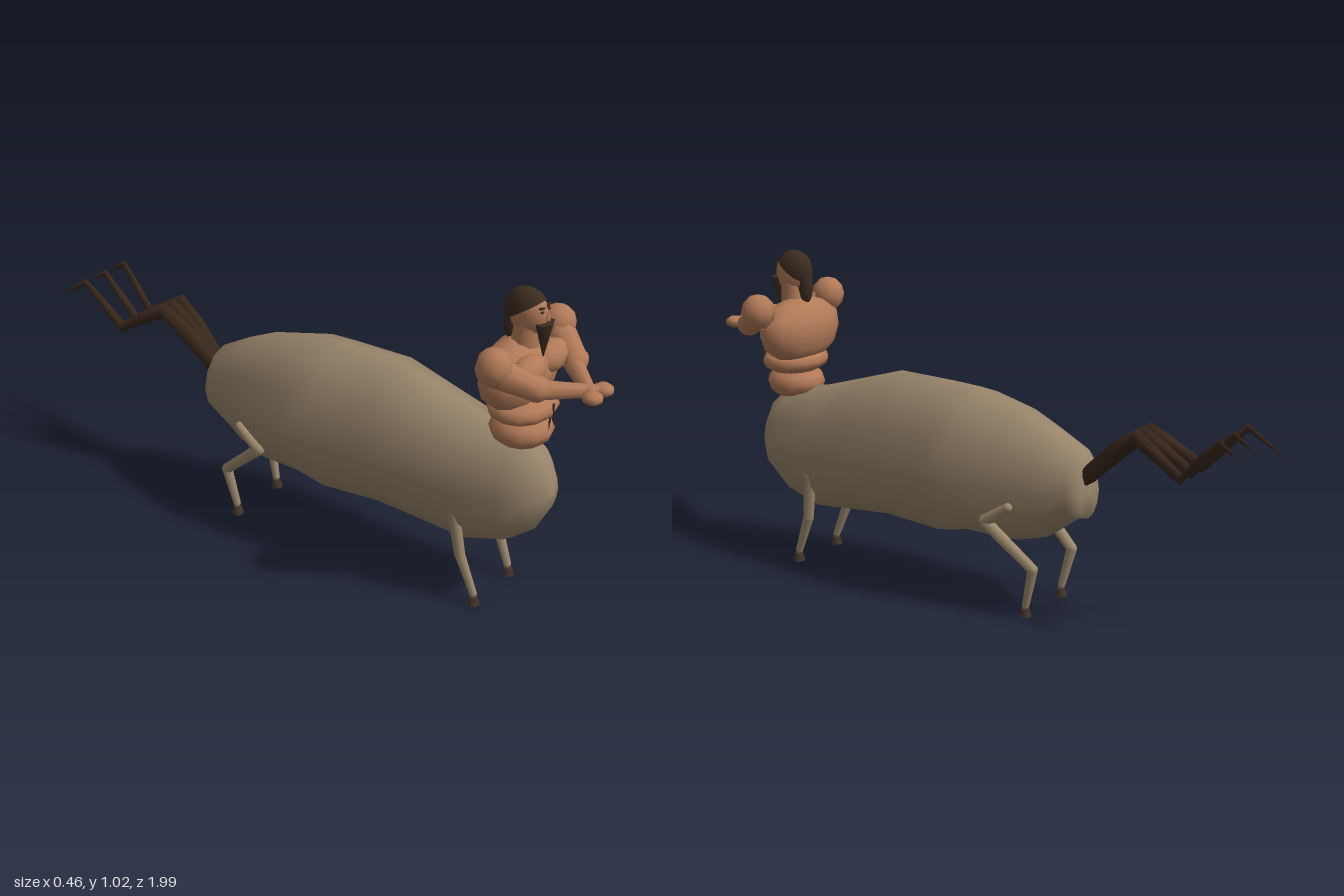
import * as THREE from 'three';

const mat = (name, color, side = THREE.FrontSide) => {
  const m = new THREE.MeshStandardMaterial({ color, side });
  m.name = name;
  return m;
};

export function createModel() {
  const root = new THREE.Group();
  const skin = mat('skin', 0xb27a58);
  const coat = mat('coat', 0x97846a);
  const legCoat = mat('leg coat', 0x9b886c);
  const hair = mat('hair', 0x3b2c20);
  const tailHair = mat('tail hair', 0x38271c);
  const hoofMat = mat('hoof', 0x40332a);

  const add = (name, geo, material, parent = root) => {
    const mesh = new THREE.Mesh(geo, material);
    mesh.name = name;
    parent.add(mesh);
    return mesh;
  };
  const ball = (name, p, r, material, parent, w = 10, h = 7) => {
    const mesh = add(name, new THREE.SphereGeometry(1, w, h), material, parent);
    mesh.position.set(...p);
    mesh.scale.set(...r);
    return mesh;
  };
  // Tapered cylinder between two points
  const limb = (name, a, b, ra, rb, material, parent) => {
    const A = new THREE.Vector3(...a), B = new THREE.Vector3(...b);
    const dir = B.clone().sub(A);
    const mesh = add(name, new THREE.CylinderGeometry(rb, ra, dir.length(), 8), material, parent);
    mesh.position.copy(A).add(B).multiplyScalar(0.5);
    mesh.quaternion.setFromUnitVectors(new THREE.Vector3(0, 1, 0), dir.normalize());
    return mesh;
  };
  // Skin over elliptical sections [z, cx, cy, halfWidth, heightUp, heightDown], back to front
  const loft = (rows, n) => {
    const pos = [], idx = [];
    rows.forEach(([z, cx, cy, w, up, down], i) => {
      for (let j = 0; j < n; j++) {
        const t = (j / n) * Math.PI * 2, s = Math.sin(t);
        pos.push(cx + w * Math.cos(t), cy + s * (s > 0 ? up : down), z);
        if (i === rows.length - 1) continue;
        const a = i * n + j, b = i * n + ((j + 1) % n);
        idx.push(a, b, a + n, b, b + n, a + n);
      }
    });
    const g = new THREE.BufferGeometry();
    g.setAttribute('position', new THREE.Float32BufferAttribute(pos, 3));
    g.setIndex(idx);
    g.computeVertexNormals();
    return g;
  };

  // Barrel of the horse
  add('horseBody', loft([
    [-0.395, 0, 0.39, 0, 0, 0],
    [-0.39, 0, 0.39, 0.06, 0.07, 0.075],
    [-0.36, 0, 0.41, 0.1, 0.12, 0.1],
    [-0.25, 0, 0.4, 0.125, 0.19, 0.17],
    [-0.15, 0, 0.4, 0.155, 0.235, 0.2],
    [0, 0, 0.4, 0.19, 0.27, 0.19],
    [0.1, 0, 0.4, 0.187, 0.275, 0.215],
    [0.3, 0, 0.4, 0.175, 0.28, 0.2],
    [0.45, 0, 0.39, 0.16, 0.245, 0.205],
    [0.6, 0, 0.38, 0.148, 0.21, 0.21],
    [0.73, 0, 0.38, 0.125, 0.19, 0.17],
    [0.8, 0, 0.38, 0.095, 0.15, 0.115],
    [0.84, 0, 0.39, 0.05, 0.07, 0.05],
    [0.85, 0, 0.39, 0, 0, 0],
  ], 12), coat);

  // Tail of three wavy strands
  const tail = new THREE.Group();
  tail.name = 'tail';
  root.add(tail);
  for (const s of [-1, 0, 1]) {
    const tip = s < 0 ? -0.99 : -0.94;
    add('tailStrand', loft([
      [tip, s * 0.1, s < 0 ? 0.57 : 0.605, 0, 0, 0],
      [-0.86, s * 0.094, 0.652, 0.008, 0.012, 0.012],
      [-0.79, s * 0.082, 0.58, 0.013, 0.018, 0.018],
      [-0.73, s * 0.07, 0.518, 0.016, 0.018, 0.018],
      [-0.66, s * 0.057, 0.56, 0.02, 0.022, 0.022],
      [-0.57, s * 0.043, 0.61, 0.024, 0.025, 0.025],
      [-0.48, s * 0.03, 0.54, 0.024, 0.035, 0.035],
      [-0.385, s * 0.017, 0.45, 0.018, 0.035, 0.035],
      [-0.37, s * 0.017, 0.45, 0, 0, 0],
    ], 7), tailHair, tail);
  }

  // Legs as joint chains with a hoof, mirrored left and right
  const chains = {
    frontLeg: [[0.125, 0.36, 0.625], [0.118, 0.31, 0.59], [0.107, 0.16, 0.612], [0.1, 0.035, 0.66]],
    hindLeg: [[0.14, 0.35, -0.19], [0.145, 0.295, -0.11], [0.115, 0.16, -0.265], [0.105, 0.035, -0.235]],
  };
  const radii = [0.015, 0.02, 0.017, 0.012];
  for (const side of [-1, 1]) {
    for (const [name, chain] of Object.entries(chains)) {
      const leg = new THREE.Group();
      leg.name = (side > 0 ? 'left ' : 'right ') + name;
      root.add(leg);
      const pts = chain.map(([x, y, z]) => [x * side, y, z]);
      pts.forEach((p, i) => {
        const r = radii[i];
        ball('joint', p, [r, r, r], legCoat, leg, 8, 6);
        if (i) limb('legSegment', pts[i - 1], p, radii[i - 1], r, legCoat, leg);
      });
      const [hx, , hz] = pts[3];
      const hoof = add('hoof', new THREE.CylinderGeometry(0.013, 0.02, 0.024, 8), hoofMat, leg);
      hoof.position.set(hx, 0.012, hz + 0.002);
    }
  }

  // Human torso
  const torso = new THREE.Group();
  torso.name = 'torso';
  root.add(torso);
  ball('lowerAbdomen', [0, 0.588, 0.735], [0.096, 0.058, 0.095], skin, torso, 12, 8);
  ball('upperAbdomen', [0, 0.662, 0.735], [0.122, 0.048, 0.1], skin, torso, 12, 8);
  const chestProfile = [[0, 0.675], [0.11, 0.68], [0.15, 0.71], [0.168, 0.76], [0.16, 0.81],
    [0.105, 0.848], [0.04, 0.868], [0, 0.87]].map(([x, y]) => new THREE.Vector2(x, y));
  const chest = add('chest', new THREE.LatheGeometry(chestProfile, 12), skin, torso);
  chest.scale.z = 0.56;
  chest.position.z = 0.715;
  limb('neck', [0, 0.84, 0.73], [0, 0.94, 0.738], 0.045, 0.038, skin, torso);

  // Folded arms
  for (const s of [-1, 1]) {
    const arm = new THREE.Group();
    arm.name = s > 0 ? 'leftArm' : 'rightArm';
    torso.add(arm);
    ball('pectoral', [s * 0.065, 0.8, 0.78], [0.075, 0.048, 0.045], skin, arm);
    ball('shoulder', [s * 0.178, 0.847, 0.737], [0.054, 0.058, 0.056], skin, arm, 8, 6);
    limb('upperArm', [s * 0.17, 0.83, 0.745], [s * 0.115, 0.785, 0.83], 0.046, 0.036, skin, arm);
    ball('elbow', [s * 0.11, 0.783, 0.835], [0.042, 0.038, 0.04], skin, arm, 8, 6);
    limb('forearm', [s * 0.1, 0.775, 0.835], [s * -0.025, 0.76, 0.965], 0.03, 0.018, skin, arm);
    ball('hand', [s * -0.032, 0.762, 0.967], [0.03, 0.02, 0.032], skin, arm, 8, 6);
  }

  // Head with hair and beard
  const head = new THREE.Group();
  head.name = 'head';
  root.add(head);
  ball('skull', [0, 0.947, 0.737], [0.043, 0.066, 0.06], skin, head, 12, 9);
  const cap = add('hairCap', new THREE.SphereGeometry(1, 12, 7, 0, Math.PI * 2, 0, Math.PI * 0.47), mat('hair cap', 0x3b2c20, THREE.DoubleSide), head);
  cap.material = hair;
  hair.side = THREE.DoubleSide;
  cap.scale.set(0.047, 0.073, 0.068);
  cap.rotation.x = -0.6;
  cap.position.set(0, 0.951, 0.733);
  ball('backLock', [0, 0.915, 0.685], [0.024, 0.068, 0.024], hair, head, 8, 7);
  const beard = add('beard', new THREE.ConeGeometry(0.038, 0.112, 6), hair, head);
  beard.rotation.x = Math.PI;
  beard.scale.z = 0.65;
  beard.position.set(0, 0.875, 0.79);
  const nose = add('nose', new THREE.ConeGeometry(0.009, 0.034, 4), skin, head);
  nose.position.set(0, 0.957, 0.798);
  for (const s of [-1, 1]) {
    const brow = add('brow', new THREE.BoxGeometry(0.022, 0.005, 0.008), hair, head);
    brow.position.set(s * 0.018, 0.977, 0.787);
    brow.rotation.z = s * 0.2;
    const eye = add('eye', new THREE.BoxGeometry(0.012, 0.004, 0.006), hair, head);
    eye.position.set(s * 0.018, 0.966, 0.789);
  }

  // Thin tufts of belly hair
  for (const [x, y, z, h, tilt] of [[-0.003, 0.662, 0.836, 0.06, 0.1], [-0.008, 0.625, 0.828, 0.04, -0.1], [0.02, 0.622, 0.825, 0.04, 0.35]]) {
    const tuft = add('bellyHair', new THREE.ConeGeometry(0.006, h, 4), hair, torso);
    tuft.scale.z = 0.7;
    tuft.rotation.z = Math.PI + tilt;
    tuft.position.set(x, y, z);
  }
  return root;
}
